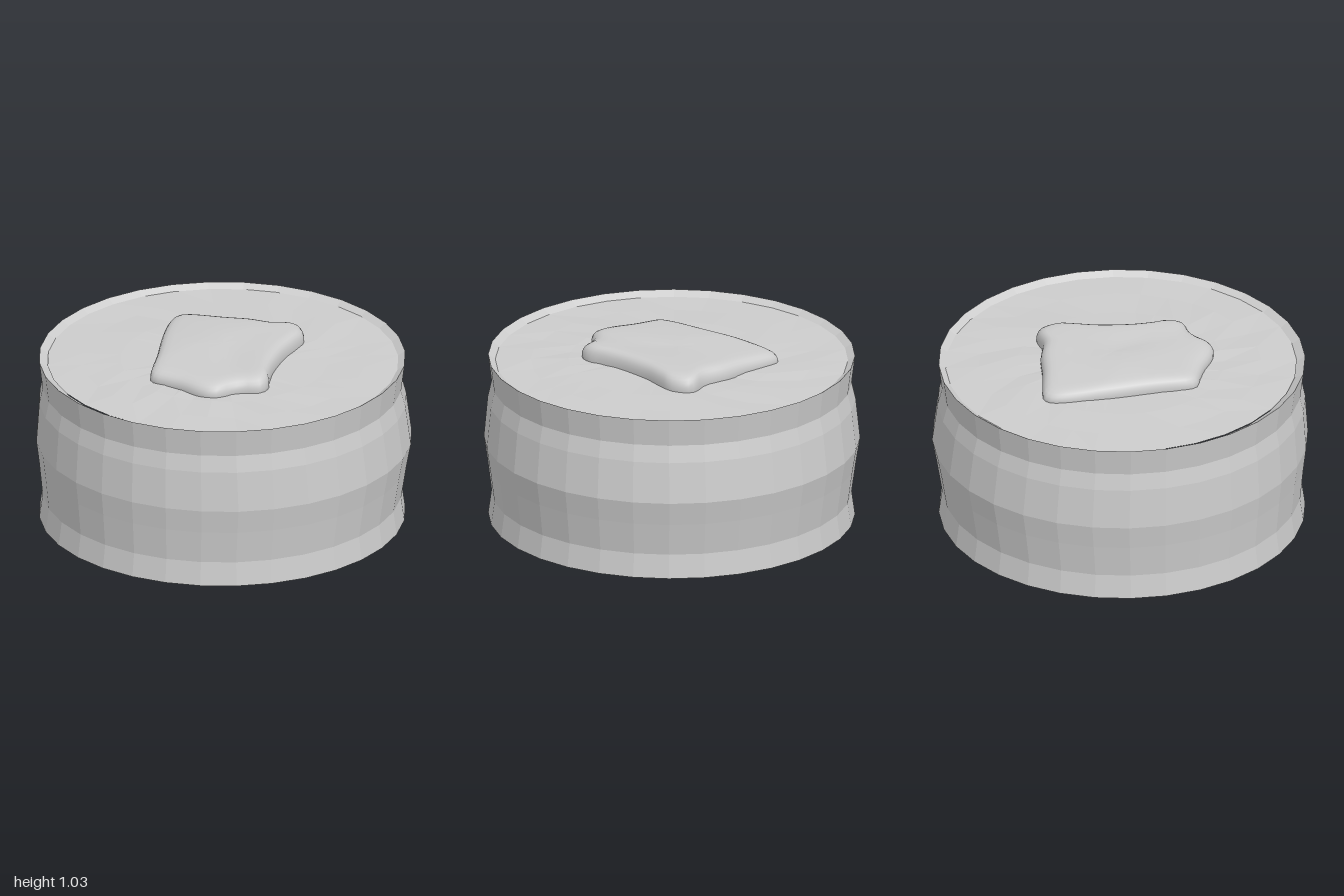
import * as THREE from 'three';

const SIDES = 32;
const MID = 0.51;

// Closed, softly rounded cap built from scaled copies of an outline.
// base: height of the hidden foot, height(x, z): height of the exposed face.
function pillow(outline, base, height, material) {
  const curve = new THREE.CatmullRomCurve3(
    outline.map(([x, z]) => new THREE.Vector3(x, 0, z)), true, 'catmullrom', 0.5);
  const n = 96, cx = 0.02, cz = -0.03;
  const rim = curve.getSpacedPoints(n).slice(0, n);
  // [outline scale, share of the full height]
  const rings = [[0.99, 0], [1, 0.3], [1, 0.5], [0.985, 0.68], [0.96, 0.82], [0.92, 0.92],
    [0.87, 0.98], [0.78, 1], [0.6, 1], [0.4, 1], [0.2, 1], [0, 1]];
  const pos = [], index = [];
  for (const [s, t] of rings) {
    for (const p of rim) {
      const x = cx + (p.x - cx) * s, z = cz + (p.z - cz) * s;
      pos.push(x, base + (height(x, z) - base) * t, z);
    }
  }
  const up = height(0, 0) > base;
  for (let r = 0; r < rings.length - 1; r++) {
    for (let i = 0; i < n; i++) {
      const j = (i + 1) % n;
      const a = r * n + i, b = r * n + j, c = a + n, d = b + n;
      // outlines run clockwise seen from above
      if (up) index.push(a, b, c, b, d, c);
      else index.push(a, c, b, b, c, d);
    }
  }
  const geo = new THREE.BufferGeometry();
  geo.setAttribute('position', new THREE.Float32BufferAttribute(pos, 3));
  geo.setIndex(index);
  geo.computeVertexNormals();
  return new THREE.Mesh(geo, material);
}

// Lathe from [radius, height] pairs
function lathe(profile, material) {
  const geo = new THREE.LatheGeometry(profile.map(p => new THREE.Vector2(...p)), SIDES);
  return new THREE.Mesh(geo, material);
}

export function createModel() {
  const group = new THREE.Group();
  const faceted = new THREE.MeshStandardMaterial({ color: 0xcccccc, flatShading: true });
  faceted.name = 'light grey faceted';
  const smooth = new THREE.MeshStandardMaterial({ color: 0xcccccc, side: THREE.DoubleSide });
  smooth.name = 'light grey smooth';

  // Wavy outer wrapper with inward-sloping lips
  const wrapper = lathe([
    [0.92, 0.1], [0.975, 0.07], [0.957, 0.2], [0.98, 0.38], [1, MID],
    [0.978, 0.73], [0.957, 0.82], [0.975, 0.97], [0.915, 0.93],
  ], faceted);
  wrapper.name = 'wrapper';
  const wp = wrapper.geometry.attributes.position;
  for (let i = 0; i < wp.count; i++) {
    const lean = Math.min(1, Math.abs(wp.getY(i) - MID) / 0.3);
    wp.setX(i, wp.getX(i) - 0.012 * lean);
  }
  group.add(wrapper);

  // Slightly uneven packed faces
  for (const [name, y, profile] of [
    ['topFace', 0.945, [[0.94, 0.945], [0.75, 0.947], [0.55, 0.95], [0.3, 0.95], [0, 0.95]]],
    ['bottomFace', 0.09, [[0, 0.085], [0.3, 0.085], [0.55, 0.085], [0.75, 0.088], [0.94, 0.09]]],
  ]) {
    const face = lathe(profile, faceted);
    face.name = name;
    const p = face.geometry.attributes.position;
    for (let i = 0; i < p.count; i++) {
      const x = p.getX(i), z = p.getZ(i), r = Math.hypot(x, z);
      if (r < 0.1 || r > 0.9) continue;
      const a = Math.atan2(x, z);
      p.setY(i, p.getY(i) + 0.004 * Math.sin(9 * Math.cos(a) + 7 * Math.sin(a) + r * 9 + y));
    }
    group.add(face);
  }

  // Filling bulging out of the top
  const topFilling = pillow([
    [0.13, -0.55], [0.18, -0.5], [0.27, -0.35], [0.36, -0.22], [0.42, -0.1], [0.5, -0.03],
    [0.505, 0.03], [0.46, 0.1], [0.38, 0.14], [0.25, 0.2], [0.1, 0.3], [0, 0.39],
    [-0.05, 0.445], [-0.12, 0.465], [-0.19, 0.41], [-0.25, 0.385], [-0.35, 0.365],
    [-0.4, 0.29], [-0.43, 0.15], [-0.46, 0.06], [-0.48, -0.01], [-0.44, -0.07],
    [-0.3, -0.2], [-0.1, -0.4], [0.05, -0.525],
  ], 0.92, (x, z) => 1.038 - 0.1 * Math.max(0, -z - 0.1) ** 1.3
    - 0.06 * Math.max(0, -x - 0.1)
    - 0.012 * Math.exp(-((x + z * 0.6 - 0.05) ** 2) / 0.015 - ((z - 0.12) ** 2) / 0.04), smooth);
  topFilling.name = 'topFilling';
  group.add(topFilling);

  // Filling bulging out of the bottom
  const bottomFilling = pillow([
    [0.12, -0.63], [0.18, -0.64], [0.25, -0.54], [0.38, -0.3], [0.48, -0.08], [0.5, 0.03],
    [0.42, 0.11], [0.25, 0.14], [0.1, 0.2], [-0.01, 0.35], [-0.07, 0.44], [-0.15, 0.45],
    [-0.24, 0.37], [-0.36, 0.3], [-0.42, 0.2], [-0.46, 0.02], [-0.42, -0.1],
    [-0.3, -0.2], [-0.12, -0.3], [0, -0.43],
  ], 0.12, (x, z) => 0.003 + 0.05 * Math.max(0, 0.2 - x) + 0.1 * Math.max(0, z - 0.1)
    + 0.02 * Math.max(0, -z), smooth);
  bottomFilling.name = 'bottomFilling';
  group.add(bottomFilling);

  return group;
}
